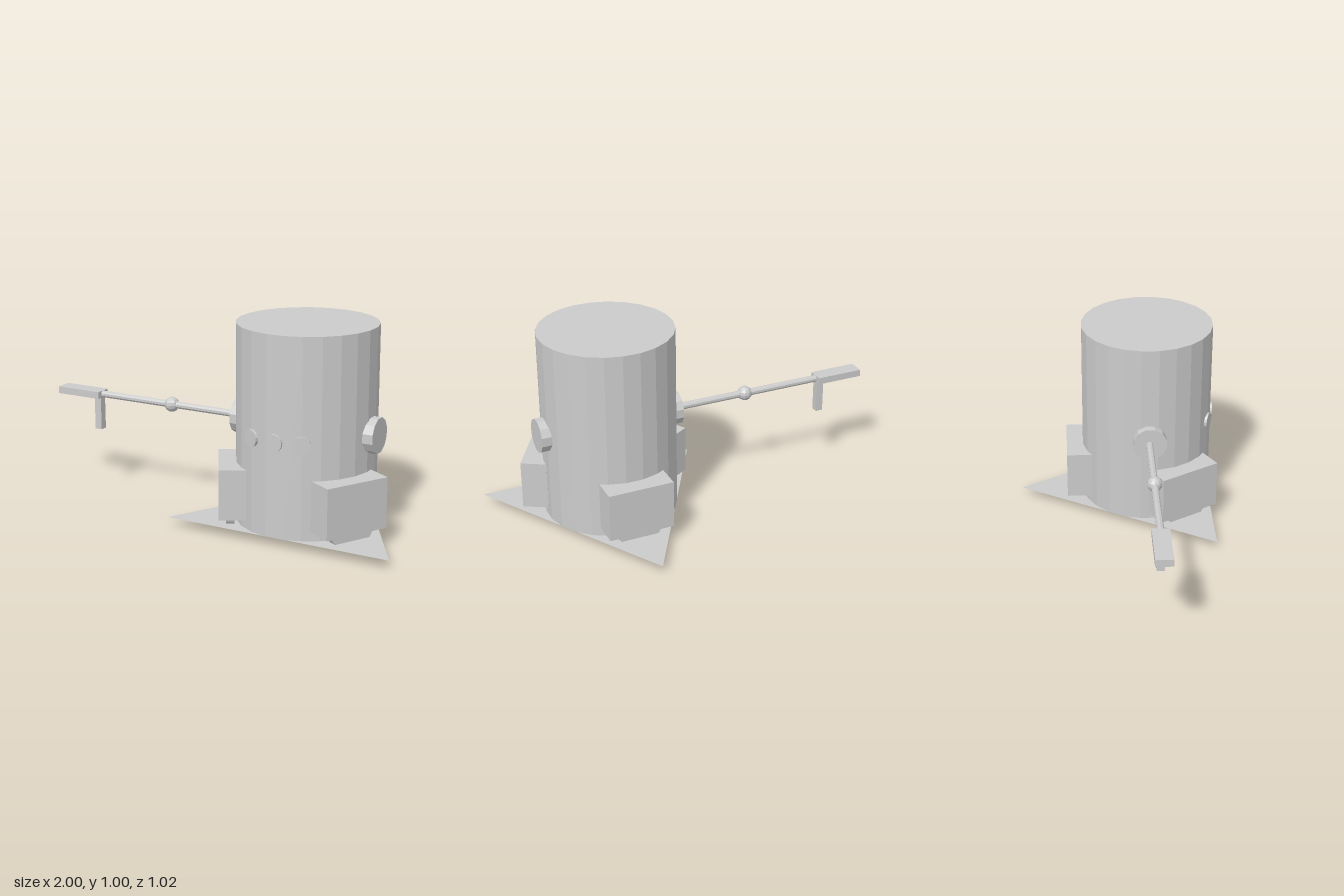
import * as THREE from 'three';

export function createModel() {
  const root = new THREE.Group();
  const material = new THREE.MeshStandardMaterial({ color: 0xcccccc, flatShading: true });
  const sheet = new THREE.MeshStandardMaterial({ color: 0xcccccc, flatShading: true, side: THREE.DoubleSide });

  function add(parent, name, geometry, x, y, z, mat = material) {
    const mesh = new THREE.Mesh(geometry, mat);
    mesh.name = name;
    mesh.position.set(x, y, z);
    parent.add(mesh);
    return mesh;
  }
  const box = (w, h, d) => new THREE.BoxGeometry(w, h, d);
  // Cylinder turned half a facet, so flats face the axes
  const drum = (r, h, n) => new THREE.CylinderGeometry(r, r, h, n).rotateY(Math.PI / n);

  // Everything but the arm is arranged around the body's axis
  const robot = new THREE.Group();
  robot.name = 'robot';
  robot.position.set(0.42, 0, 0.158);
  root.add(robot);

  add(robot, 'body', drum(0.337, 0.96, 24), 0, 0.525, 0);

  // Thin triangular base, one point to the back
  const base = new THREE.CircleGeometry(0.665, 3, Math.PI / 2).rotateX(-Math.PI / 2);
  add(robot, 'basePlate', base, 0, 0.045, 0, sheet);

  // Three feet, each a housing over a wheel
  for (let i = 0; i < 3; i++) {
    const foot = new THREE.Group();
    foot.name = 'foot' + (i + 1);
    foot.rotation.y = Math.PI + i * Math.PI * 2 / 3;
    robot.add(foot);
    add(foot, 'wheelHousing', box(0.334, 0.247, 0.13), 0, 0.2115, 0.355);
    add(foot, 'wheel', drum(0.125, 0.042, 16).rotateX(Math.PI / 2), 0, 0.1226, 0.365);
  }

  // Round shoulder sockets on both sides
  for (const side of [-1, 1]) {
    add(robot, side < 0 ? 'rightSocket' : 'leftSocket',
      drum(0.0865, 0.053, 12).rotateZ(Math.PI / 2), side * 0.348, 0.505, 0);
  }

  // Three buttons fanned around the front
  for (let i = -1; i <= 1; i++) {
    const angle = i * Math.PI / 8;
    const button = add(robot, 'button' + (i + 2), drum(0.042, 0.02, 16).rotateX(Math.PI / 2),
      Math.sin(angle) * 0.336, 0.505, Math.cos(angle) * 0.336);
    button.rotation.y = angle;
  }

  // Right arm: rod, elbow ball, flat hand and hanging finger
  const arm = new THREE.Group();
  arm.name = 'rightArm';
  arm.position.set(0, 0.505, 0.155);
  root.add(arm);
  add(arm, 'rod', drum(0.018, 0.81, 10).rotateZ(Math.PI / 2), -0.35, 0, 0);
  add(arm, 'elbow', new THREE.SphereGeometry(0.038, 10, 8), -0.333, 0, 0);
  add(arm, 'hand', box(0.25, 0.036, 0.084), -0.875, 0, 0);
  add(arm, 'finger', box(0.038, 0.168, 0.038), -0.771, -0.102, 0);

  return root;
}
